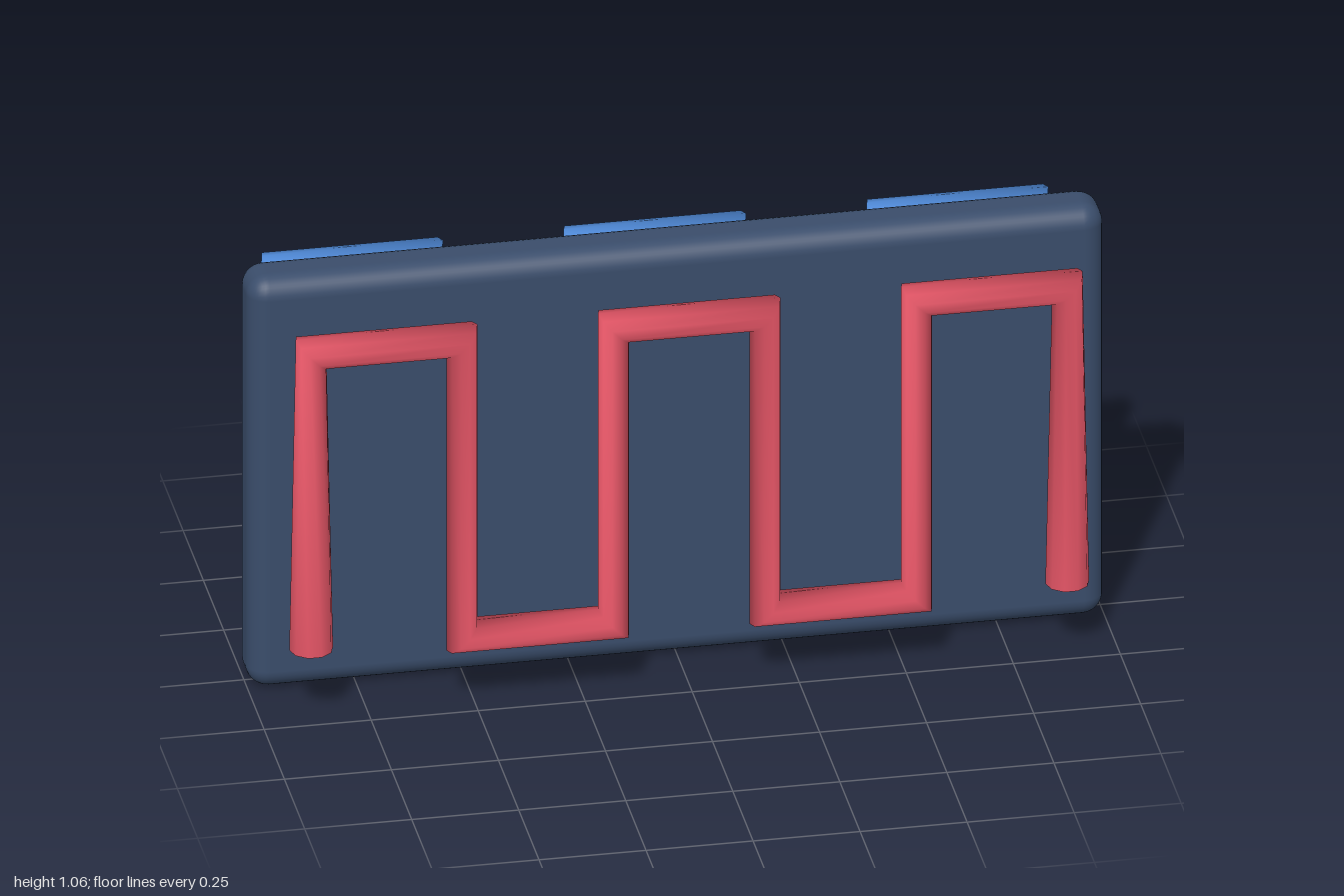
import * as THREE from 'three';
import { RoundedBoxGeometry } from 'three/addons/geometries/RoundedBoxGeometry.js';

const SIDES = 10;
const RADIUS = 0.051;

// Square-wave path: six uprights joined alternately at the top and bottom
function serpentinePath() {
  const low = 0.179, high = 0.945;
  const points = [];
  [-0.883, -0.531, -0.177, 0.177, 0.531, 0.883].forEach((x, i) => {
    const ys = i % 2 === 0 ? [low, high] : [high, low];
    ys.forEach((y) => points.push(new THREE.Vector2(x, y)));
  });
  return points;
}

// Pipe with one ring per corner, each set square to the corner's bisector
function pipeGeometry(points) {
  const positions = [], index = [];
  const last = points.length - 1;

  const addRing = (i) => {
    const tangent = new THREE.Vector2();
    if (i > 0) tangent.add(points[i].clone().sub(points[i - 1]).normalize());
    if (i < last) tangent.add(points[i + 1].clone().sub(points[i]).normalize());
    tangent.normalize();
    for (let j = 0; j < SIDES; j++) {
      const a = (j / SIDES) * Math.PI * 2;
      const r = RADIUS * Math.cos(a);
      positions.push(points[i].x - tangent.y * r, points[i].y + tangent.x * r, RADIUS * Math.sin(a));
    }
  };

  // Walls
  points.forEach((_, i) => addRing(i));
  for (let i = 0; i < last; i++) {
    for (let j = 0; j < SIDES; j++) {
      const k = (j + 1) % SIDES;
      const a = i * SIDES + j, b = i * SIDES + k;
      const c = a + SIDES, d = b + SIDES;
      index.push(a, b, c, b, d, c);
    }
  }

  // Flat end caps with their own vertices
  [0, last].forEach((i) => {
    const base = positions.length / 3;
    addRing(i);
    for (let j = 1; j < SIDES - 1; j++) {
      if (i === 0) index.push(base, base + j + 1, base + j);
      else index.push(base, base + j, base + j + 1);
    }
  });

  const geometry = new THREE.BufferGeometry();
  geometry.setAttribute('position', new THREE.Float32BufferAttribute(positions, 3));
  geometry.setIndex(index);
  geometry.computeVertexNormals();
  return geometry;
}

export function createModel() {
  const model = new THREE.Group();
  const add = (name, geometry, color, y, z) => {
    const mesh = new THREE.Mesh(geometry, new THREE.MeshStandardMaterial({ color }));
    mesh.name = name;
    mesh.position.set(0, y, z);
    model.add(mesh);
  };

  // Rounded slab between the two pipes
  add('panel', new RoundedBoxGeometry(2, 1.06, 0.14, 4, 0.05), 0x3a4d6b, 0.53, 0);

  // Serpentine pipes floating in front of and behind the slab
  const pipe = pipeGeometry(serpentinePath());
  add('frontPipe', pipe, 0xe55566, 0, 0.212);
  add('backPipe', pipe, 0x5594e8, 0, -0.212);
  return model;
}
